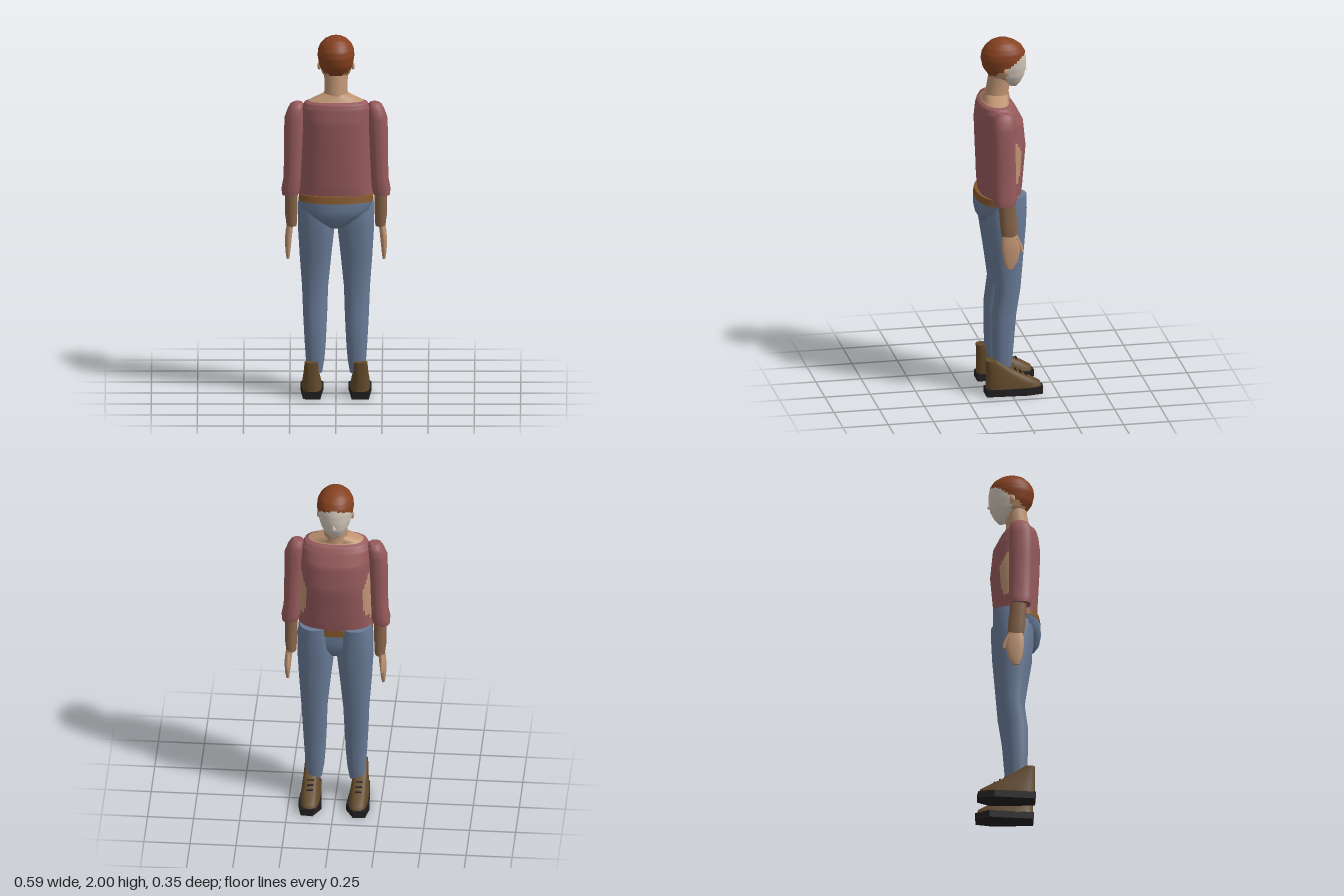
import * as THREE from 'three';

const mat = (name, color) => {
  const m = new THREE.MeshStandardMaterial({ color });
  m.name = name;
  return m;
};

// Lofts superelliptical rings [y, xMin, xMax, zMin, zMax], listed bottom to top.
// pick(x, y, z) returns the material index of each quad.
function loft(rings, { power = 2.3, segs = 32, sub = 1, pick = () => 0 } = {}) {
  const rows = [];
  for (let i = 0; i < rings.length - 1; i++)
    for (let k = 0; k < sub; k++)
      rows.push(rings[i].map((v, n) => v + (rings[i + 1][n] - v) * k / sub));
  rows.push(rings[rings.length - 1]);
  const pos = [];
  const ring = ([y, x0, x1, z0, z1]) => {
    for (let j = 0; j < segs; j++) {
      const a = j / segs * Math.PI * 2, c = Math.cos(a), s = Math.sin(a);
      const f = v => Math.sign(v) * Math.abs(v) ** (2 / power);
      pos.push((x0 + x1) / 2 + f(c) * (x1 - x0) / 2, y, (z0 + z1) / 2 + f(s) * (z1 - z0) / 2);
    }
  };
  rows.forEach(ring);
  const faces = [[], [], []];
  for (let i = 0; i < rows.length - 1; i++)
    for (let j = 0; j < segs; j++) {
      const k = (j + 1) % segs;
      const a = i * segs + j, b = i * segs + k, c = a + segs, d = b + segs;
      const mid = n => (pos[a * 3 + n] + pos[d * 3 + n]) / 2;
      faces[pick(mid(0), mid(1), mid(2))].push(a, c, b, b, c, d);
    }
  // End caps with their own vertices keep the rims sharp
  [rows[0], rows[rows.length - 1]].forEach((r, top) => {
    const start = pos.length / 3;
    ring(r);
    const centre = pos.length / 3;
    pos.push((r[1] + r[2]) / 2, r[0], (r[3] + r[4]) / 2);
    const m = pick(pos[centre * 3], r[0], pos[centre * 3 + 2]);
    for (let j = 0; j < segs; j++) {
      const p = start + j, q = start + (j + 1) % segs;
      faces[m].push(centre, ...(top ? [q, p] : [p, q]));
    }
  });
  const g = new THREE.BufferGeometry();
  g.setAttribute('position', new THREE.Float32BufferAttribute(pos, 3));
  g.setIndex(faces.flat());
  let at = 0;
  faces.forEach((f, m) => {
    if (f.length) g.addGroup(at, f.length, m);
    at += f.length;
  });
  g.computeVertexNormals();
  return g;
}

// Mirrors ring bounds to the given side
const toSide = (rings, s) => s > 0 ? rings : rings.map(([y, a, b, c, d]) => [y, -b, -a, c, d]);
// Rings centred on x = 0, given as [y, halfWidth, zMin, zMax]
const centred = rings => rings.map(([y, w, a, b]) => [y, -w, w, a, b]);

export function createModel() {
  const skin = mat('skin', 0xbe9372), face = mat('pale face', 0xd3c8bb), hair = mat('auburn hair', 0x86411f);
  const shirt = mat('dusty red shirt', 0x965a5c), denim = mat('blue denim', 0x697b97);
  const tan = mat('tanned forearm', 0x876449), leather = mat('shoe leather', 0x634a2b);
  const belt = mat('belt brown', 0x85582c), black = mat('sole black', 0x211e1e);

  const model = new THREE.Group();
  const add = (name, geometry, material, parent = model) => {
    const m = new THREE.Mesh(geometry, material);
    m.name = name;
    parent.add(m);
    return m;
  };

  // Head: hair above a sloping hairline, face in front, skin behind the jaw
  add('head', loft(centred([
    [1.725, 0.025, -0.06, -0.02], [1.75, 0.05, -0.08, 0.03], [1.79, 0.076, -0.1, 0.095],
    [1.84, 0.092, -0.108, 0.128], [1.89, 0.1, -0.108, 0.139], [1.925, 0.097, -0.102, 0.133],
    [1.955, 0.084, -0.084, 0.115], [1.98, 0.06, -0.05, 0.088], [1.995, 0.032, -0.015, 0.057], [2, 0.008, 0.01, 0.03],
  ]), { power: 2.1, segs: 40, sub: 4, pick: (x, y, z) => y > 1.855 - 0.65 * z ? 0 : z < 0.01 ? 1 : 2 }),
  [hair, face, skin]);
  const nose = add('nose', new THREE.ConeGeometry(0.012, 0.04, 8), face);
  nose.position.set(0, 1.83, -0.104);
  add('neck', loft(centred([
    [1.66, 0.07, -0.02, 0.118], [1.7, 0.063, -0.013, 0.113], [1.8, 0.064, -0.03, 0.095],
  ]), { power: 2 }), skin);

  // Shirt body with bare collar and open sides
  add('shirtBody', loft(centred([
    [1.13, 0.2, -0.073, 0.15], [1.18, 0.196, -0.08, 0.155], [1.4, 0.19, -0.1, 0.166],
    [1.54, 0.188, -0.086, 0.171], [1.61, 0.186, -0.05, 0.162], [1.64, 0.17, -0.03, 0.154],
    [1.652, 0.145, -0.005, 0.132], [1.69, 0.06, -0.01, 0.11],
  ]), {
    segs: 64, sub: 6,
    pick: (x, y, z) => y > 1.65 || ((z - 0.005) / 0.06) ** 2 + ((y - 1.335) / 0.14) ** 2 < 1 ? 1 : 0,
  }), [shirt, skin]);

  // Belt and seat of the trousers
  add('belt', loft(centred([[1.095, 0.203, -0.075, 0.174], [1.132, 0.2, -0.075, 0.168]])), belt);
  add('trouserSeat', loft(centred([
    [0.945, 0.05, -0.03, 0.11], [0.97, 0.09, -0.05, 0.145], [1.01, 0.15, -0.068, 0.168],
    [1.05, 0.19, -0.07, 0.175], [1.1, 0.2, -0.07, 0.172],
  ])), denim);

  for (const s of [1, -1]) {
    const side = s > 0 ? 'left' : 'right';
    const arm = new THREE.Group(), leg = new THREE.Group();
    arm.name = side + 'Arm';
    leg.name = side + 'Leg';
    model.add(arm, leg);
    const part = (name, rings, material, parent, options) =>
      add(name, loft(toSide(rings, s), options), material, parent);

    const ear = add(side + 'Ear', new THREE.SphereGeometry(0.02, 10, 8), skin);
    ear.scale.set(0.45, 1.1, 0.75);
    ear.position.set(s * 0.092, 1.83, 0.018);

    // Arm
    part('sleeve', [
      [1.125, 0.202, 0.293, 0, 0.11], [1.16, 0.193, 0.295, -0.012, 0.118], [1.22, 0.19, 0.284, -0.008, 0.118],
      [1.4, 0.18, 0.281, -0.006, 0.122], [1.55, 0.172, 0.28, -0.008, 0.123], [1.6, 0.172, 0.262, -0.004, 0.112],
      [1.625, 0.175, 0.248, 0.005, 0.1], [1.637, 0.185, 0.232, 0.025, 0.08],
    ], shirt, arm);
    part('forearm', [
      [0.945, 0.213, 0.268, -0.015, 0.072], [1, 0.21, 0.275, -0.014, 0.08], [1.16, 0.206, 0.277, 0, 0.09],
    ], tan, arm);
    part('hand', [
      [0.76, 0.252, 0.268, 0.015, 0.045], [0.8, 0.247, 0.274, -0.012, 0.063], [0.87, 0.24, 0.277, -0.028, 0.074],
      [0.92, 0.235, 0.272, -0.02, 0.073], [0.96, 0.228, 0.265, -0.012, 0.068],
    ], skin, arm, { segs: 20 });
    part('thumb', [
      [0.855, 0.25, 0.262, -0.045, -0.028], [0.885, 0.246, 0.266, -0.043, -0.012], [0.94, 0.245, 0.265, -0.018, 0.01],
    ], skin, arm, { segs: 10 });

    // Trouser leg
    part('trouserLeg', [
      [0.13, 0.075, 0.156, 0.002, 0.086], [0.2, 0.063, 0.163, -0.012, 0.096], [0.3, 0.055, 0.17, -0.02, 0.1],
      [0.45, 0.048, 0.178, -0.032, 0.1], [0.6, 0.043, 0.184, -0.055, 0.08], [0.78, 0.025, 0.197, -0.07, 0.105],
      [0.95, 0.006, 0.207, -0.085, 0.132], [1.06, 0.014, 0.207, -0.09, 0.13], [1.14, 0.025, 0.195, -0.09, 0.12],
    ], denim, leg);

    // Shoe
    const outline = [[0.11, -0.177], [0.175, -0.171], [0.193, -0.085], [0.178, 0.14], [0.085, 0.14], [0.067, -0.1]];
    const sole = new THREE.ExtrudeGeometry(
      new THREE.Shape(outline.map(([x, z]) => new THREE.Vector2(s * x, z))), { depth: 0.04, bevelEnabled: false });
    add('sole', sole.rotateX(Math.PI / 2).translate(0, 0.04, 0), black, leg);
    part('shoeUpper', [
      [0.035, 0.076, 0.184, -0.168, 0.138], [0.06, 0.08, 0.183, -0.162, 0.138], [0.09, 0.085, 0.18, -0.11, 0.138],
      [0.12, 0.09, 0.176, -0.05, 0.138], [0.15, 0.094, 0.174, 0, 0.138], [0.2, 0.098, 0.17, 0.078, 0.138],
    ], leather, leg, { power: 3 });
    for (let i = 0; i < 3; i++) {
      const lace = add('lace', new THREE.BoxGeometry(0.036, 0.008, 0.008), black, leg);
      lace.position.set(s * 0.132, 0.136 - i * 0.015, -0.025 - i * 0.028);
      lace.rotation.x = -0.5;
    }
  }
  return model;
}
